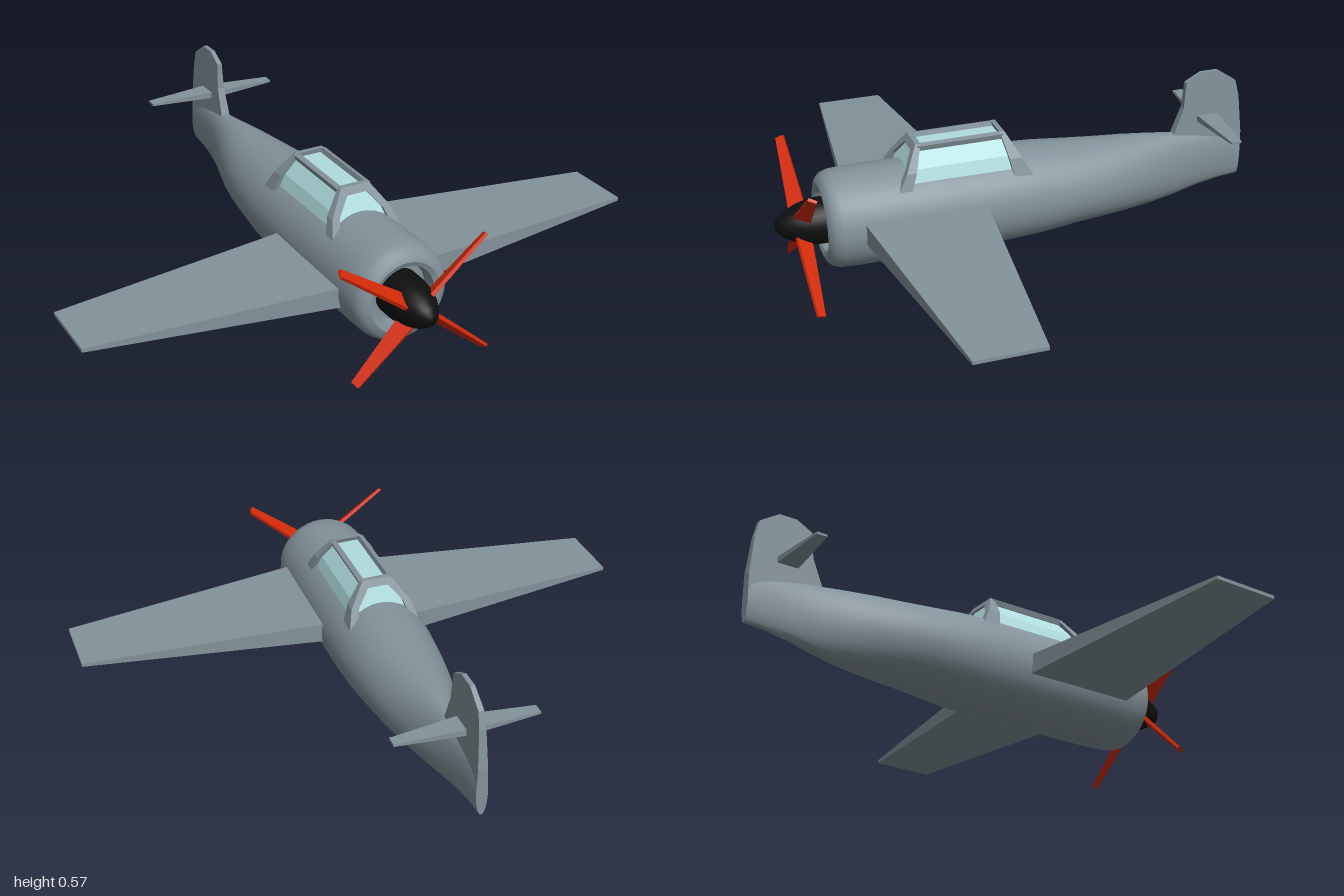
import * as THREE from 'three';
import { toCreasedNormals } from 'three/addons/utils/BufferGeometryUtils.js';

const material = (name, color) => {
  const m = new THREE.MeshStandardMaterial({ color });
  m.name = name;
  return m;
};

// Moves every vertex by a rule that edits the vector in place
function reshape(geometry, rule) {
  const p = geometry.attributes.position;
  const v = new THREE.Vector3();
  for (let i = 0; i < p.count; i++) {
    rule(v.fromBufferAttribute(p, i));
    p.setXYZ(i, v.x, v.y, v.z);
  }
  geometry.computeVertexNormals();
  return geometry;
}

// Tapered slab between two rectangles [x, y0, y1, z0, z1], lower x first
function slab(a, b) {
  return reshape(new THREE.BoxGeometry(1, 1, 1), v => {
    const s = v.x < 0 ? a : b;
    v.set(s[0], v.y < 0 ? s[1] : s[2], v.z < 0 ? s[3] : s[4]);
  });
}

// Skin over elliptical rings [z, bottom, top, half width], front to back
function loft(rings, sides) {
  const pos = [], index = [];
  rings.forEach(([z, lo, hi, w], i) => {
    for (let j = 0; j < sides; j++) {
      const a = (j / sides) * Math.PI * 2;
      pos.push(w * Math.cos(a), (lo + hi) / 2 + ((hi - lo) / 2) * Math.sin(a), z);
      if (i === rings.length - 1) continue;
      const k = (j + 1) % sides;
      const p = i * sides, q = p + sides;
      index.push(p + j, q + j, p + k, q + j, q + k, p + k);
    }
  });
  const g = new THREE.BufferGeometry();
  g.setAttribute('position', new THREE.Float32BufferAttribute(pos, 3));
  g.setIndex(index);
  return toCreasedNormals(g, 0.7);
}

export function createModel() {
  const grey = material('airframe grey', 0x83929a);
  const glass = material('canopy glass', 0xb0dcdf);
  const red = material('propeller red', 0xd42a08);
  const black = material('spinner black', 0x0e0e0e);

  const model = new THREE.Group();
  model.name = 'propellerAircraft';
  const body = new THREE.Group();
  body.name = 'body';
  body.position.x = -0.008;
  model.add(body);
  const add = (parent, name, geometry, mat) => {
    const mesh = new THREE.Mesh(geometry, mat);
    mesh.name = name;
    parent.add(mesh);
    return mesh;
  };

  // Fuselage with an open cowling at the nose and a narrow blunt tail
  const cy = 0.232;
  const ring = (z, r) => [z, cy - r, cy + r, r];
  add(body, 'fuselage', loft([
    ring(0.65, 0), ring(0.65, 0.1), ring(0.695, 0.108), ring(0.702, 0.125),
    ring(0.695, 0.145), ring(0.68, 0.16), ring(0.655, 0.168), ring(0.6, 0.171),
    [0.3, 0.06, 0.403, 0.172],
    [0.05, 0.061, 0.402, 0.171],
    [-0.07, 0.068, 0.396, 0.166],
    [-0.2, 0.081, 0.384, 0.152],
    [-0.3, 0.086, 0.377, 0.136],
    [-0.4, 0.09, 0.373, 0.113],
    [-0.5, 0.097, 0.366, 0.083],
    [-0.6, 0.112, 0.356, 0.053],
    [-0.7, 0.135, 0.348, 0.034],
    [-0.78, 0.149, 0.34, 0.026],
    [-0.855, 0.155, 0.33, 0.02],
    [-0.855, 0.24, 0.245, 0],
  ], 40), grey);

  // Wings
  add(model, 'leftWing', slab([0.13, 0.201, 0.274, 0.157, 0.585], [1, 0.235, 0.247, 0.255, 0.49]), grey);
  add(model, 'rightWing', slab([-1, 0.207, 0.219, 0.24, 0.48], [-0.13, 0.175, 0.248, 0.15, 0.58]), grey);

  // Tailplane halves
  add(body, 'leftTailplane', slab([0, 0.393, 0.416, -0.757, -0.678], [0.245, 0.4, 0.408, -0.738, -0.7]), grey);
  add(body, 'rightTailplane', slab([-0.245, 0.398, 0.406, -0.74, -0.702], [0, 0.393, 0.416, -0.757, -0.678]), grey);

  // Fin, thinning towards the top
  const finShape = new THREE.Shape([
    [-0.855, 0.27], [-0.855, 0.33], [-0.84, 0.47], [-0.825, 0.53], [-0.755, 0.577],
    [-0.69, 0.577], [-0.632, 0.545], [-0.625, 0.45], [-0.588, 0.35], [-0.588, 0.27],
  ].map(p => new THREE.Vector2(...p)));
  const fin = new THREE.ExtrudeGeometry(finShape, { depth: 0.02, bevelEnabled: false });
  fin.translate(0, 0, -0.01).rotateY(-Math.PI / 2);
  add(body, 'fin', reshape(fin, v => {
    v.x = Math.sign(v.x) * THREE.MathUtils.mapLinear(v.y, 0.27, 0.577, 0.019, 0.008);
  }), grey);

  // Canopy: sections stretched between sloping front and rear planes
  const section = half => [...half, ...half.map(([x, y]) => [-x, y]).reverse()]
    .map(p => new THREE.Vector2(...p));
  const inner = section([[0.118, 0.33], [0.09, 0.41], [0.045, 0.468]]);
  const outer = section([[0.13, 0.33], [0.108, 0.405], [0.052, 0.484]]);
  const hole = section([[0.103, 0.335], [0.08, 0.405], [0.036, 0.46]]);
  const between = (shape, rear, front) => reshape(
    new THREE.ExtrudeGeometry(shape, { depth: 1, bevelEnabled: false }),
    v => { v.z = v.z < 0.5 ? rear(v.y) : front(v.y); });
  const slope = (z, k) => y => z + k * (y - 0.4);
  const canopy = new THREE.Group();
  canopy.name = 'canopy';
  body.add(canopy);
  add(canopy, 'canopyGlass', between(new THREE.Shape(inner), slope(0.035, 0.4), slope(0.41, -0.5)), glass);
  const hoop = new THREE.Shape(outer);
  hoop.holes.push(new THREE.Path(hole));
  add(canopy, 'frontFrame', between(hoop, slope(0.39, -0.38), slope(0.425, -0.58)), grey);
  add(canopy, 'rearFrame', between(hoop, slope(0.016, 0.55), slope(0.062, 0.2)), grey);
  for (const s of [1, -1]) {
    const rail = add(canopy, s > 0 ? 'leftRail' : 'rightRail', new THREE.BoxGeometry(0.018, 0.02, 0.3), grey);
    rail.position.set(s * 0.05, 0.472, 0.22);
    rail.rotation.z = -s * 0.3;
  }

  // Spinner
  const profile = [[0.08, 0.64], [0.08, 0.705], [0.075, 0.745], [0.066, 0.78], [0.052, 0.81], [0.034, 0.838], [0.016, 0.852], [0, 0.856]]
    .map(p => new THREE.Vector2(...p));
  const spinner = add(body, 'spinner', new THREE.LatheGeometry(profile, 28), black);
  spinner.rotation.x = Math.PI / 2;
  spinner.position.y = cy;

  // Four pitched propeller blades: [angle in degrees, length]
  const propeller = new THREE.Group();
  propeller.name = 'propeller';
  propeller.position.set(0.002, cy, 0.768);
  body.add(propeller);
  for (const [angle, length] of [[145, 0.342], [40, 0.312], [224.7, 0.31], [-39.7, 0.337]]) {
    const blade = add(propeller, 'blade', slab(
      [0.04, -0.007, 0.007, -0.03, 0.03], [length, -0.005, 0.005, -0.015, 0.015]), red);
    blade.rotation.set(-0.5, 0, THREE.MathUtils.degToRad(angle), 'ZYX');
  }
  return model;
}
